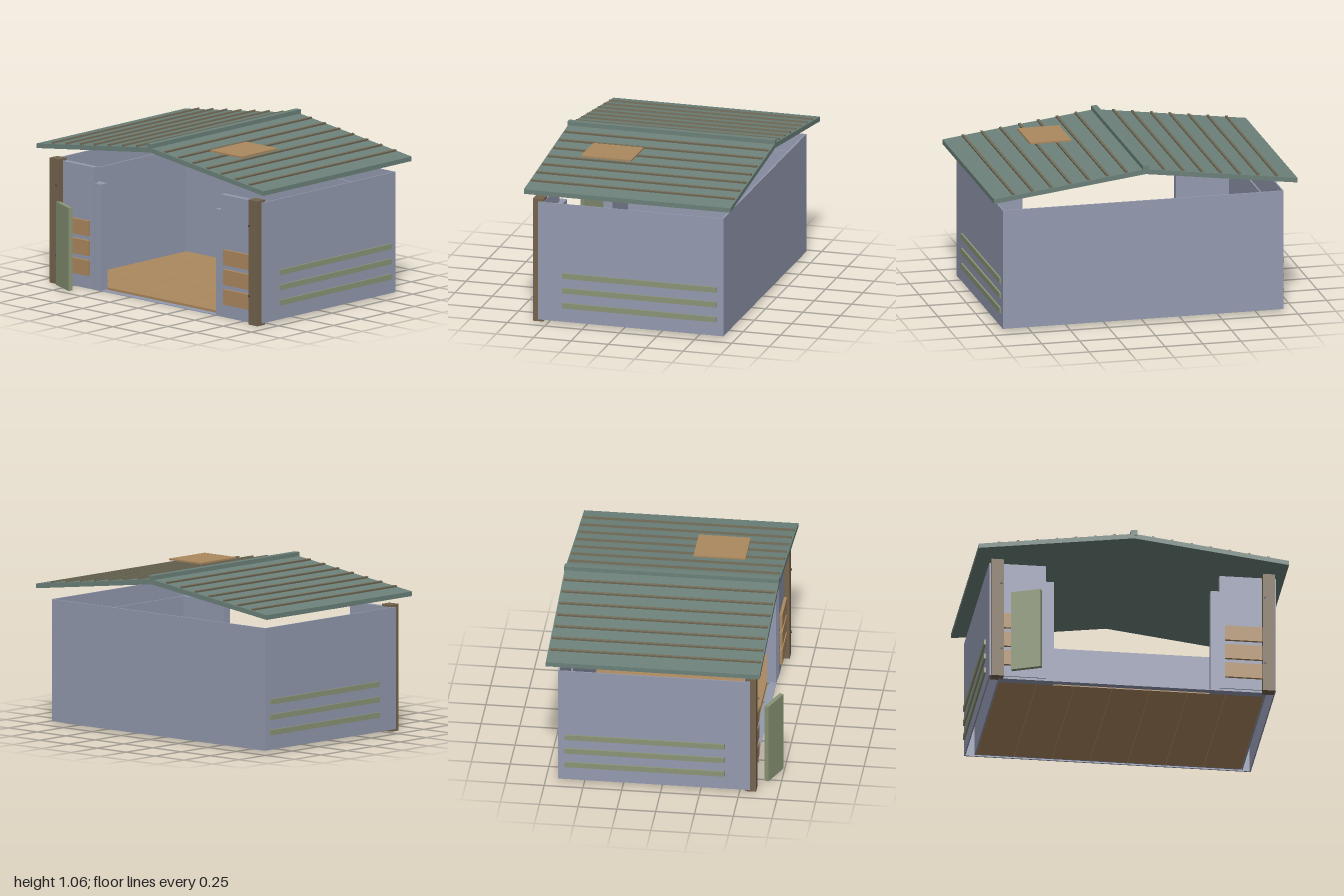
import * as THREE from 'three';

const mat = (name, hex) => {
  const m = new THREE.MeshStandardMaterial({ color: hex });
  m.name = name;
  return m;
};

export function createModel() {
  const wall = mat('wallBlueGrey', 0x949ab0);
  const roof = mat('roofGreen', 0x6c817a);
  const plank = mat('plankTan', 0xac895f);
  const olive = mat('oliveTrim', 0x8a9576);
  const timber = mat('timberBrown', 0x75644d);
  const rib = mat('ribBrown', 0x716b57);
  const metal = mat('boltGrey', 0x4e4e4c);

  const model = new THREE.Group();
  model.name = 'shed';

  // Box given by its limits on each axis
  const box = (name, m, x0, x1, y0, y1, z0, z1) => {
    const mesh = new THREE.Mesh(new THREE.BoxGeometry(x1 - x0, y1 - y0, z1 - z0), m);
    mesh.position.set((x0 + x1) / 2, (y0 + y1) / 2, (z0 + z1) / 2);
    mesh.name = name;
    model.add(mesh);
    return mesh;
  };
  // Box repeated on the other side of x = 0
  const pair = (name, m, x0, x1, ...rest) => {
    box(name + 'Left', m, x0, x1, ...rest);
    box(name + 'Right', m, -x1, -x0, ...rest);
  };

  // Outer walls, open at the front
  box('backWall', wall, -0.925, 0.925, 0.015, 0.805, -0.67, -0.66);
  pair('sideWall', wall, 0.917, 0.925, 0.015, 0.805, -0.66, 0.568);
  pair('frontWall', wall, 0.56, 0.917, 0.015, 0.805, 0.532, 0.568);

  // Lower inner lining around the room, ending in the door jambs
  box('backLining', wall, -0.865, 0.865, 0, 0.7, -0.61, -0.6);
  pair('sideLining', wall, 0.855, 0.865, 0, 0.7, -0.6, 0.5);
  pair('doorJamb', wall, 0.505, 0.865, 0, 0.7, 0.5, 0.56);

  // Floor planks and sill
  box('doorSill', wall, -0.505, 0.505, 0, 0.004, 0.515, 0.56);
  const count = 7, step = 1.71 / count;
  for (let i = 0; i < count; i++) {
    const x = -0.855 + i * step;
    box('floorPlank', plank, x + 0.001, x + step - 0.001, 0, 0.015, -0.6, 0.5);
  }

  // Front corner posts with bolts
  pair('frontPost', timber, 0.835, 0.915, 0, 0.82, 0.535, 0.605);
  for (const s of [-1, 1]) for (const y of [0.19, 0.65]) {
    const bolt = new THREE.Mesh(new THREE.CylinderGeometry(0.008, 0.008, 0.006, 8), metal);
    bolt.rotation.x = Math.PI / 2;
    bolt.position.set(s * 0.85, y, 0.614);
    bolt.name = 'bolt';
    model.add(bolt);
  }

  // Boards on the front walls and rails on the sides
  for (const y of [0.09, 0.22, 0.35]) {
    pair('frontBoard', plank, 0.595, 0.84, y, y + 0.1, 0.568, 0.587);
  }
  for (const y of [0.108, 0.208, 0.307]) {
    pair('sideRail', olive, 0.92, 0.937, y, y + 0.035, -0.625, 0.405);
  }

  // Loose door leaf, swung open
  const door = box('doorLeaf', olive, -0.8, -0.604, 0.015, 0.56, 0.681, 0.709);
  door.rotation.y = -0.4;

  // Gable roof as one folded slab
  const shape = new THREE.Shape();
  [[-1, 0.875], [0, 1.003], [1, 0.875], [1, 0.905], [0, 1.035], [-1, 0.905]].forEach(([x, y], i) =>
    i ? shape.lineTo(x, y) : shape.moveTo(x, y));
  const slab = new THREE.Mesh(
    new THREE.ExtrudeGeometry(shape, { depth: 1.38, bevelEnabled: false }), roof);
  slab.position.z = -0.74;
  slab.name = 'roofSlab';
  model.add(slab);
  box('ridgeCap', roof, -0.02, 0.02, 1.025, 1.06, -0.743, 0.643);

  // Seam ribs following the slope
  for (const s of [-1, 1]) for (let i = 1; i <= 7; i++) {
    const x = s * i * 0.124;
    const y = 1.035 - 0.13 * Math.abs(x) + 0.003;
    const seam = box('roofRib', rib, x - 0.008, x + 0.008, y - 0.008, y + 0.008, -0.73, 0.63);
    seam.rotation.z = -s * 0.13;
  }

  // Flat hatch panel over the roof
  box('roofHatch', plank, 0.293, 0.568, 1.012, 1.023, 0.052, 0.387);

  return model;
}
